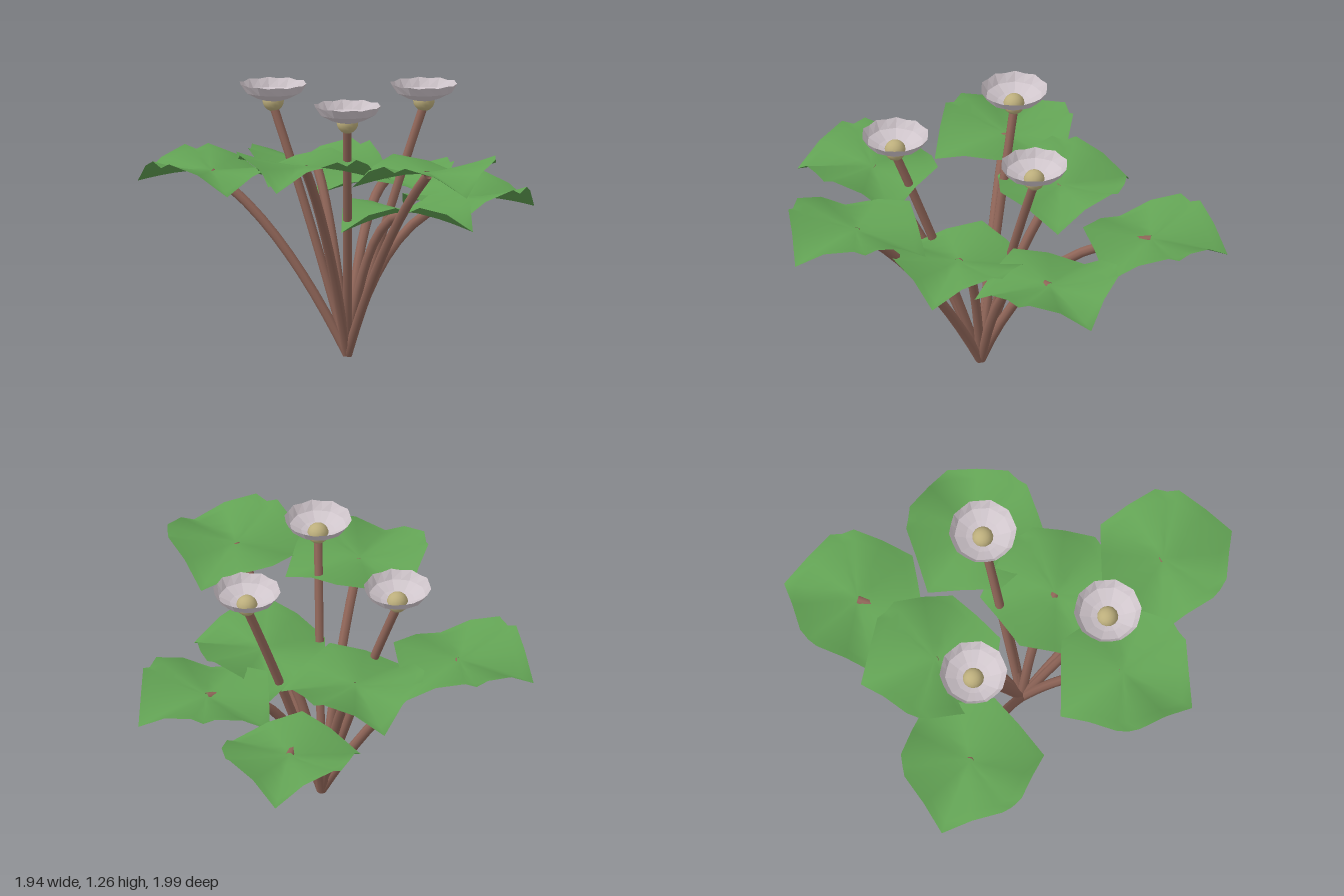
import * as THREE from 'three';

const BASE = new THREE.Vector3(0.04, 0.01, 0.12);

const mat = (name, color, extra = {}) => {
  const m = new THREE.MeshStandardMaterial({ color, ...extra });
  m.name = name;
  return m;
};

// Leaf rim from tip to back: angle in degrees, radius, height
const RIM = [
  [0, 0.357, -0.07], [23, 0.306, 0.025], [50, 0.32, 0.07], [60, 0.315, 0.045], [70, 0.32, 0.07],
  [96, 0.304, 0.025], [120, 0.35, -0.07], [149, 0.29, 0.005], [180, 0.318, 0.04],
];

// Wavy six-cornered leaf, tip along +x, centre at the origin
function leafGeometry() {
  const half = RIM.map(([a, r, y]) => {
    const t = THREE.MathUtils.degToRad(a);
    return new THREE.Vector3(r * Math.cos(t), y, r * Math.sin(t));
  });
  const mirrored = half.slice(1, -1).reverse().map(p => new THREE.Vector3(p.x, p.y, -p.z));
  const rim = [...half, ...mirrored];
  const n = rim.length, rings = [0.25, 0.5, 0.7, 0.85, 1];
  const pos = [0, 0, 0], index = [];
  for (const s of rings) {
    for (const p of rim) pos.push(p.x * s, p.y * Math.pow(s, 1.6), p.z * s);
  }
  for (let i = 0; i < n; i++) {
    const j = (i + 1) % n;
    index.push(0, 1 + j, 1 + i);
    for (let k = 0; k < rings.length - 1; k++) {
      const a = 1 + k * n + i, b = 1 + k * n + j;
      index.push(a, b, a + n, b, b + n, a + n);
    }
  }
  const g = new THREE.BufferGeometry();
  g.setAttribute('position', new THREE.Float32BufferAttribute(pos, 3));
  g.setIndex(index);
  g.computeVertexNormals();
  return g;
}

// Faceted petal cup with a slightly scalloped rim
function cupGeometry() {
  const profile = [[0.03, 0.002], [0.08, 0.018], [0.132, 0.045], [0.158, 0.088]];
  const g = new THREE.LatheGeometry(profile.map(p => new THREE.Vector2(...p)), 20);
  const pos = g.attributes.position;
  for (let i = 0; i < pos.count; i++) {
    const ring = i % profile.length, seam = Math.floor(i / profile.length) % 2;
    if (seam && ring > 0) {
      const k = 0.965;
      pos.setXYZ(i, pos.getX(i) * k, pos.getY(i) - (ring === 3 ? 0.006 : 0), pos.getZ(i) * k);
    }
  }
  g.computeVertexNormals();
  return g;
}

// Stalk bending from the shared root to a tip; cx, cy place the bend
function stemGeometry(tip, cx, cy, radius) {
  const bend = new THREE.Vector3(
    THREE.MathUtils.lerp(BASE.x, tip.x, cx),
    THREE.MathUtils.lerp(BASE.y, tip.y, cy),
    THREE.MathUtils.lerp(BASE.z, tip.z, cx));
  return new THREE.TubeGeometry(new THREE.QuadraticBezierCurve3(BASE, bend, tip), 10, radius, 8);
}

export function createModel() {
  const leafGreen = mat('leafGreen', 0x62a254, { side: THREE.DoubleSide });
  const stemBrown = mat('stemBrown', 0x8f6558, { side: THREE.DoubleSide });
  const petalGrey = mat('petalGrey', 0xcfc5cb, { side: THREE.DoubleSide, flatShading: true });
  const budYellow = mat('budYellow', 0xbcae7c);

  const group = new THREE.Group();
  group.name = 'floweringPlant';
  const add = (parent, name, geometry, material) => {
    const mesh = new THREE.Mesh(geometry, material);
    mesh.name = name;
    parent.add(mesh);
    return mesh;
  };

  // Leaves in three tiers: centre x, y, z and stem bend
  const low = [0.32, 0.97], mid = [0.5, 0.76], high = [0.45, 0.66];
  const leaves = [
    [-0.16, 0.71, -0.65, low], [0.405, 0.71, -0.355, low], [0.34, 0.71, 0.12, low],
    [-0.27, 0.845, -0.165, mid], [-0.615, 0.845, 0.235, mid],
    [0.09, 0.98, 0.64, high], [0.665, 0.98, 0.51, high],
  ];
  const leafShape = leafGeometry();
  for (const [x, y, z, bend] of leaves) {
    const leaf = add(group, 'leaf', leafShape, leafGreen);
    leaf.position.set(x, y, z);
    leaf.rotation.y = -Math.atan2(z - BASE.z, x - BASE.x);
    add(group, 'leafStem', stemGeometry(new THREE.Vector3(x, y - 0.012, z), ...bend, 0.023), stemBrown);
  }

  // Flowers: petal cup around a round bud on a nearly straight stalk
  const cup = cupGeometry(), bud = new THREE.SphereGeometry(0.05, 14, 10);
  for (const [x, z] of [[0.26, -0.225], [-0.36, 0.1], [0.225, 0.475]]) {
    const flower = new THREE.Group();
    flower.name = 'flower';
    flower.position.set(x, 1.168, z);
    add(flower, 'petals', cup, petalGrey);
    add(flower, 'bud', bud, budYellow).position.y = 0.004;
    group.add(flower);
    add(group, 'flowerStem', stemGeometry(new THREE.Vector3(x, 1.15, z), 0.44, 0.5, 0.021), stemBrown);
  }
  return group;
}
